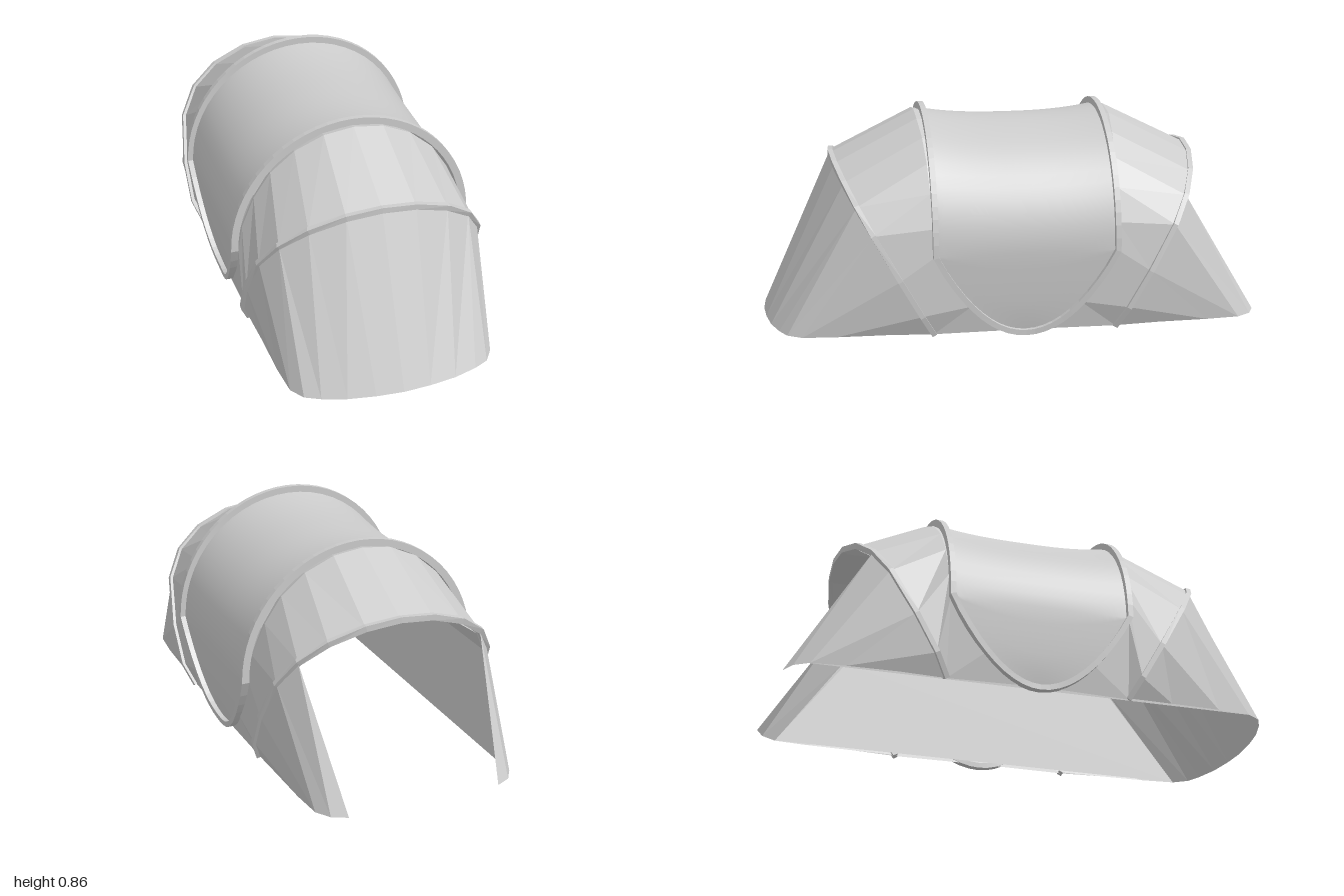
import * as THREE from 'three';

const V = (x, y, z) => new THREE.Vector3(x, y, z);
const AXIS = 0.345;  // height of the arch centre
const HALF = 0.362;  // half length of the middle section

const mat = (flat) => new THREE.MeshStandardMaterial({ color: 0xcccccc, flatShading: flat, side: THREE.DoubleSide });

// Skin a list of equally long point rows
function loft(name, rows, flat = true, closed = false) {
  const n = rows[0].length, pos = [], idx = [];
  rows.forEach(r => r.forEach(p => pos.push(p.x, p.y, p.z)));
  const last = closed ? rows.length : rows.length - 1;
  for (let i = 0; i < last; i++) {
    const a = i * n, b = ((i + 1) % rows.length) * n;
    for (let j = 0; j < n - 1; j++) {
      idx.push(a + j, b + j, b + j + 1, a + j, b + j + 1, a + j + 1);
    }
  }
  const g = new THREE.BufferGeometry();
  g.setAttribute('position', new THREE.Float32BufferAttribute(pos, 3));
  g.setIndex(idx);
  g.computeVertexNormals();
  const m = new THREE.Mesh(g, mat(flat));
  m.name = name;
  return m;
}

// Sweep a rectangular strip along a path, with its thickness facing outward
function band(name, path, width, thick, closed) {
  const n = path.length;
  const rows = path.map((p, i) => {
    const a = closed ? path[(i + n - 1) % n] : path[Math.max(i - 1, 0)];
    const b = closed ? path[(i + 1) % n] : path[Math.min(i + 1, n - 1)];
    const t = b.clone().sub(a).normalize();
    const out = V(p.x, Math.max(p.y - AXIS, 0), 0);
    out.addScaledVector(t, -out.dot(t)).normalize();
    const side = t.clone().cross(out);
    return [[1, 1], [1, -1], [-1, -1], [-1, 1], [1, 1]].map(([u, v]) =>
      p.clone().addScaledVector(out, u * thick / 2).addScaledVector(side, v * width / 2));
  });
  if (!closed) {
    // cap the ends by collapsing the strip to a point
    const cap = (p) => Array.from({ length: 5 }, () => p.clone());
    rows.unshift(cap(path[0]));
    rows.push(cap(path[n - 1]));
  }
  return loft(name, rows, true, closed);
}

// Half profile (from the +x foot to the crown) completed by mirroring
const full = (half) => [...half, ...half.slice(0, -1).reverse().map(p => V(-p.x, p.y, p.z))];
const flipZ = (pts, s) => pts.map(p => V(p.x, p.y, p.z * s));

// Height of the lower scalloped edge of the middle section
const hem = (z) => 0.012 + 0.328 * Math.pow(Math.min(Math.abs(z) / HALF, 1), 2);
const taper = (y) => 0.05 * (1 - Math.sqrt(Math.min(y / AXIS, 1)));

// Middle canopy, sagging between its two arches
function middleCanopy() {
  const R = 0.478, rows = [];
  for (let i = 0; i <= 24; i++) {
    const z = HALF * (i / 12 - 1);
    const rise = 0.467 + 0.028 * Math.pow(Math.abs(z) / HALF, 2.6);
    const half = [];
    for (let k = 0; k < 5; k++) {
      const y = THREE.MathUtils.lerp(hem(z), AXIS, k / 5);
      half.push(V(R - taper(y), y, z));
    }
    for (let k = 0; k <= 14; k++) {
      const a = k / 14 * Math.PI / 2;
      half.push(V(R * Math.cos(a), AXIS + rise * Math.sin(a), z));
    }
    rows.push(full(half));
  }
  return loft('middleCanopy', rows, false);
}

// One continuous rib: front arch, side scallop, back arch, side scallop
function middleRib() {
  const R = 0.485, rise = 0.505, pts = [], arch = 32, dip = 20;
  for (const s of [1, -1]) {
    for (let i = 0; i <= arch; i++) {
      const a = i / arch * Math.PI;
      pts.push(V(s * R * Math.cos(a), AXIS + rise * Math.sin(a), s * HALF));
    }
    for (let i = 1; i < dip; i++) {
      const z = s * HALF * (1 - 2 * i / dip), y = hem(z);
      pts.push(V(-s * (R - taper(y)), y, z));
    }
  }
  return band('middleRib', pts, 0.022, 0.03, true);
}

// Leaning end arch, given by its front outline
const lean = (y) => 0.367 + 0.37 * (y - 0.015) / 0.655;
const endArch = [[0.432, 0.015], [0.468, 0.1], [0.475, 0.25], [0.45, 0.43],
  [0.385, 0.533], [0.28, 0.608], [0.14, 0.657], [0, 0.672]].map(([x, y]) => V(x, y, lean(y)));

// Sloping roof: its edge at the middle rib, and its edge at the end arch,
// where the foot of the arch takes two points of the scallop
const innerEdge = [[0.44, 0.02, 0], [0.457, 0.13, 0.22], [0.468, 0.34, 0.365], [0.452, 0.45, 0.368],
  [0.402, 0.58, 0.372], [0.335, 0.685, 0.378], [0.238, 0.77, 0.385], [0.122, 0.826, 0.395],
  [0, 0.842, 0.395]].map(p => V(...p));
const roofEdge = [endArch[0], ...endArch];

// Upper and ground edges of the end panels; the corner takes two ground points
const panelTop = [...endArch.slice(0, 5), ...endArch.slice(4)];
const groundEdge = [[0.432, 0.37], [0.43, 0.55], [0.425, 0.75], [0.413, 0.885], [0.375, 0.943],
  [0.315, 0.973], [0.22, 1.003], [0.11, 1.02], [0, 1.027]].map(([x, z]) => V(x, 0.02, z));

// Straight inner tunnel: upright lower walls, then the end arch outline
const linerEdge = [V(0.41, 0.02, 0.885),
  ...endArch.slice(3).map(p => V(p.x * 0.97, p.y - 0.015, p.z - 0.005))];

export function createModel() {
  const tent = new THREE.Group();
  tent.name = 'tent';
  const body = new THREE.Group();
  body.name = 'tentBody';
  body.position.z = -0.027;
  tent.add(body);

  body.add(middleCanopy(), middleRib());
  body.add(loft('innerLiner', [full(linerEdge), flipZ(full(linerEdge), -1)]));

  for (const [label, s] of [['front', 1], ['back', -1]]) {
    const inner = flipZ(full(innerEdge), s);
    // short collar tucked under the middle rib
    const collar = inner.map(p => V(p.x, p.y - (p.y > 0.5 ? 0.008 : 0),
      Math.sign(p.z) * Math.min(Math.abs(p.z), 0.355)));
    body.add(loft(label + 'Roof', [collar, inner, flipZ(full(roofEdge), s)]));
    body.add(band(label + 'Rib', flipZ(full(endArch), s), 0.02, 0.024, false));
  }

  // Closed front panel
  body.add(loft('frontPanel', [full(panelTop), full(groundEdge)]));

  // Side flaps beside the open back entrance
  for (const [label, sx] of [['left', 1], ['right', -1]]) {
    const side = (pts) => pts.slice(0, 6).map(p => V(p.x * sx, p.y, -p.z));
    body.add(loft(label + 'BackFlap', [side(panelTop), side(groundEdge)]));
  }
  return tent;
}
